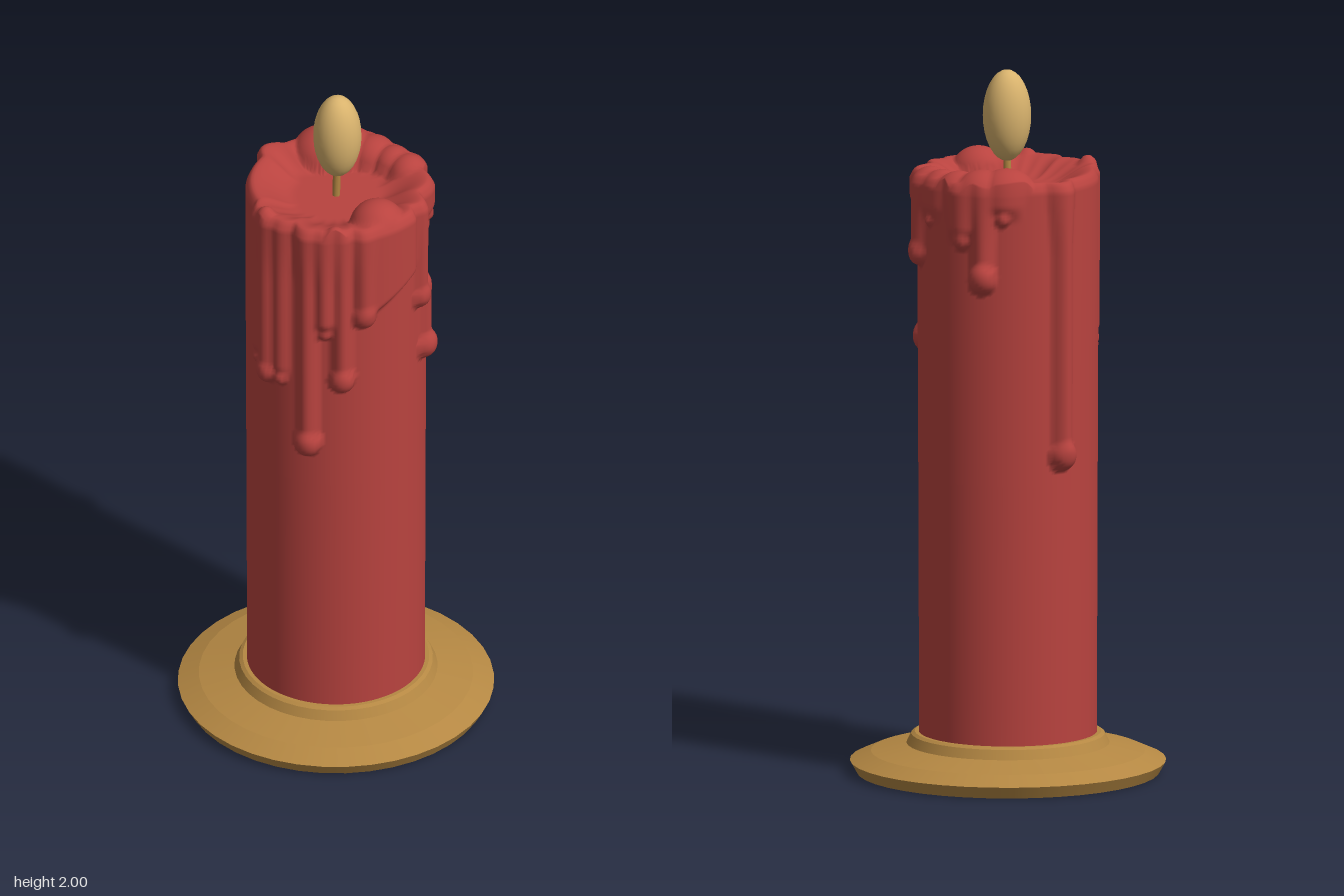
import * as THREE from 'three';

const WAX = new THREE.MeshStandardMaterial({ color: 0xb9433f });
WAX.name = 'red wax';
const BRASS = new THREE.MeshStandardMaterial({ color: 0xb58843 });
BRASS.name = 'brass';
const FLAME = new THREE.MeshStandardMaterial({ color: 0xd9b36d });
FLAME.name = 'pale flame';

const RIM = 1.69; // height where the wall turns into the rim
const BOTTOM = 0.1;

// Runs of wax down the wall: angle (degrees from the front towards +x), lowest point,
// half width, thickness, size of the end bead
const DRIPS = [
  [-7, 1.2, 0.03, 0.022, 0.02],
  [2, 1.16, 0.036, 0.03, 0.034],
  [13, 1.17, 0.03, 0.02, 0.022],
  [32, 0.96, 0.036, 0.03, 0.04],
  [43, 1.35, 0.035, 0.03, 0.02],
  [54, 1.18, 0.032, 0.026, 0.036],
  [68, 1.39, 0.035, 0.028, 0.036],
  [116, 1.37, 0.03, 0.028, 0.034],
  [124, 1.18, 0.03, 0.026, 0.04, 1.42],
  [143, 1.58, 0.05, 0.024, 0.02],
  [167, 1.46, 0.04, 0.028, 0.034],
  [182, 1.58, 0.045, 0.014, 0.015],
  [211, 1.53, 0.05, 0.028, 0.026],
  [225, 1.41, 0.036, 0.026, 0.04],
  [238, 1.6, 0.05, 0.022, 0.02],
  [278, 0.9, 0.036, 0.032, 0.04],
];

// Cooled lumps lying on the rim: x, z, radius, top height
const LUMPS = [
  [0.2, 0.015, 0.08, 1.75],
  [-0.175, -0.1, 0.09, 1.755],
  [-0.135, -0.155, 0.085, 1.75],
  [-0.07, -0.195, 0.07, 1.74],
  [0, -0.21, 0.06, 1.735],
  [0.06, -0.215, 0.06, 1.735],
  [0.0, 0.255, 0.035, 1.735],
  [0.2, 0.17, 0.04, 1.73],
];

const smooth = THREE.MathUtils.smoothstep;
const angleGap = (a, b) => ((a - b + 540) % 360 + 360) % 360 - 180;

// Radius of the wall with all runs blended together
function wallRadius(deg, y) {
  const base = THREE.MathUtils.lerp(0.25, 0.254, smooth(y, 0.2, 1.7));
  let sum = 0;
  for (const [a, low, w, h, bead, top = 9] of DRIPS) {
    const d = Math.abs(angleGap(deg, a)) * Math.PI / 180 * base;
    if (d > 0.1) continue;
    const flare = w * (1 + 0.35 * smooth(y, 1.5, 1.72));
    const ridge = d < flare
      ? h * Math.cos(d / flare * Math.PI / 2) * smooth(y, low + 0.005, low + 0.06) * (1 - smooth(y, top, top + 0.06))
      : 0;
    const q = Math.hypot(d, (y - low - bead) * 0.85) / bead;
    const drop = q < 1 ? bead * 1.05 * Math.sqrt(1 - q * q) : 0;
    sum += ridge ** 4 + drop ** 4;
  }
  // Slanted sheet of wax on the left side
  const across = smooth(deg, 58, 66) * (1 - smooth(deg, 103, 112));
  const edge = 1.39 + (deg - 66) / 40 * 0.1;
  sum += (0.025 * across * smooth(y, edge, edge + 0.04)) ** 4;
  return base + sum ** 0.25;
}

// Height of the top: a rounded rim, a melted hollow and the lumps
function topHeight(s, x, z) {
  const round = 0.028 * Math.sqrt(1 - smooth(s, 0.9, 1) ** 2);
  let y = RIM + round - 0.05 * (1 - smooth(s, 0.45, 0.93));
  for (const [lx, lz, r, h] of LUMPS) {
    const q = Math.hypot(x - lx, z - lz) / r;
    if (q < 1) y = Math.max(y, RIM - 0.02 + (h - RIM + 0.02) * Math.sqrt(1 - q * q));
  }
  return y;
}

// One closed skin: rings up the wall, then rings shrinking to the middle
function waxGeometry() {
  const SEG = 180, pos = [], index = [], rings = [];
  for (const y of [BOTTOM, 0.35, 0.6, 0.85]) rings.push([y, 1]);
  for (let i = 1; i <= 100; i++) rings.push([0.85 + (RIM - 0.85) * i / 100, 1]);
  for (const s of [0.99, 0.975, 0.955, 0.93]) rings.push([RIM, s]);
  for (let i = 1; i <= 28; i++) rings.push([RIM, 0.93 * (1 - i / 28) + 0.002]);
  rings.forEach(([y, s], j) => {
    for (let i = 0; i < SEG; i++) {
      const deg = i * 360 / SEG, t = deg * Math.PI / 180;
      const r = wallRadius(deg, y) * s;
      const x = r * Math.sin(t), z = r * Math.cos(t);
      pos.push(x, s < 1 ? topHeight(s, x, z) : y, z);
      if (j === rings.length - 1) continue;
      const a = j * SEG + i, b = j * SEG + (i + 1) % SEG;
      index.push(a, b, b + SEG, a, b + SEG, a + SEG);
    }
  });
  const g = new THREE.BufferGeometry();
  g.setAttribute('position', new THREE.Float32BufferAttribute(pos, 3));
  g.setIndex(index);
  g.computeVertexNormals();
  return g;
}

export function createModel() {
  const group = new THREE.Group();
  const add = (name, geometry, material) => {
    const mesh = new THREE.Mesh(geometry, material);
    mesh.name = name;
    group.add(mesh);
    return mesh;
  };

  // Shallow dish; each band is its own lathe so the edges stay sharp
  const dish = [[0, 0.005], [0.425, 0], [0.444, 0.034], [0.385, 0.06], [0.285, 0.083], [0.272, 0.11], [0.262, 0.116], [0.2, 0.116]];
  for (let i = 0; i < dish.length - 1; i++) {
    const band = [dish[i], dish[i + 1]].map(([r, y]) => new THREE.Vector2(r, y));
    add('holderBand' + (i + 1), new THREE.LatheGeometry(band, 40), BRASS);
  }

  add('candleWax', waxGeometry(), WAX);

  // Slightly bent wick
  const bend = new THREE.CatmullRomCurve3([
    new THREE.Vector3(0, 1.64, 0), new THREE.Vector3(0.002, 1.7, 0), new THREE.Vector3(0.006, 1.78, 0),
  ]);
  add('wick', new THREE.TubeGeometry(bend, 8, 0.011, 8), BRASS);

  const flame = add('flame', new THREE.SphereGeometry(1, 24, 16), FLAME);
  flame.scale.set(0.068, 0.13, 0.068);
  flame.position.set(0.006, 1.87, 0);
  return group;
}
